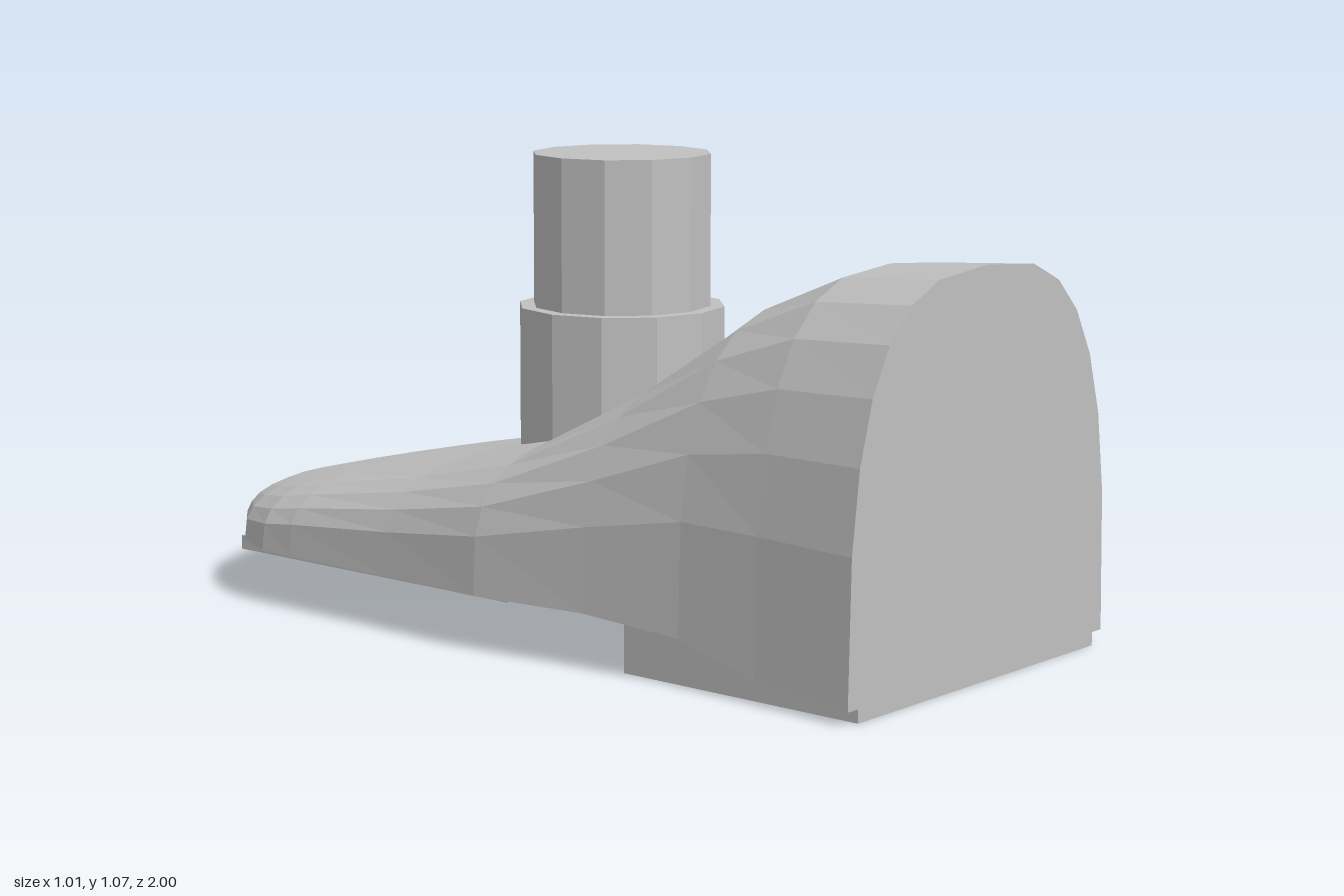
import * as THREE from 'three';

const grey = new THREE.MeshStandardMaterial({ color: 0xc0c0c0 });
grey.name = 'plain grey';

// Cross-sections from heel to toe: z, bottom y, top y, half width, squareness
const SECTIONS = [
  [1, 0.03, 0.893, 0.468, 3],
  [0.75, 0.05, 0.875, 0.455, 3],
  [0.54, 0.105, 0.785, 0.45, 3],
  [0.29, 0.125, 0.605, 0.472, 3.2],
  [0, 0.125, 0.445, 0.505, 3.4],
  [-0.28, 0.125, 0.37, 0.495, 3.4],
  [-0.6, 0.125, 0.305, 0.49, 3.4],
  [-0.7, 0.125, 0.284, 0.483, 3.2],
  [-0.82, 0.125, 0.258, 0.428, 3],
  [-0.925, 0.125, 0.234, 0.328, 3],
  [-1, 0.125, 0.215, 0.165, 3],
];
const SEGMENTS = 14;

// Arched rings joined into a closed, faceted shell
function loftGeometry() {
  const positions = [];
  const index = [];
  const ring = SEGMENTS + 1;
  for (const [z, bottom, top, half, n] of SECTIONS) {
    for (let j = 0; j < ring; j++) {
      const a = (j / SEGMENTS) * Math.PI;
      const c = Math.cos(a);
      const s = Math.max(0, Math.sin(a));
      const x = Math.sign(c) * Math.pow(Math.abs(c), 2 / n) * half;
      positions.push(x, bottom + (top - bottom) * Math.pow(s, 2 / n), z);
    }
  }
  for (let i = 0; i < SECTIONS.length - 1; i++) {
    for (let j = 0; j < ring; j++) {
      const k = (j + 1) % ring;
      const a = i * ring + j, b = i * ring + k;
      const c = a + ring, d = b + ring;
      index.push(a, c, b, b, c, d);
    }
  }
  // End caps
  const last = (SECTIONS.length - 1) * ring;
  for (let j = 1; j < SEGMENTS; j++) {
    index.push(0, j, j + 1);
    index.push(last, last + j + 1, last + j);
  }
  const geometry = new THREE.BufferGeometry();
  geometry.setAttribute('position', new THREE.Float32BufferAttribute(positions, 3));
  geometry.setIndex(index);
  return faceted(geometry);
}

function faceted(geometry) {
  const flat = geometry.toNonIndexed();
  flat.computeVertexNormals();
  return flat;
}

export function createModel() {
  const model = new THREE.Group();
  model.name = 'shoeShapedBody';

  const add = (name, geometry) => {
    const mesh = new THREE.Mesh(geometry, grey);
    mesh.name = name;
    model.add(mesh);
  };
  const block = (name, halfWidth, y0, y1, z0, z1) => {
    const g = new THREE.BoxGeometry(halfWidth * 2, y1 - y0, z1 - z0);
    add(name, g.translate(0, (y0 + y1) / 2, (z0 + z1) / 2));
  };
  const post = (name, radius, y0, y1) => {
    const g = faceted(new THREE.CylinderGeometry(radius, radius, y1 - y0, 12));
    add(name, g.translate(0, (y0 + y1) / 2, -0.005));
  };

  add('shell', loftGeometry());

  // Underside
  block('heelBlock', 0.433, 0, 0.13, 0.375, 1);
  block('solePlate', 0.415, 0.097, 0.13, -0.845, 0.02);
  block('soleBar', 0.15, 0.097, 0.13, 0.13, 0.215);

  // Stepped post on top
  post('postCollar', 0.238, 0.2, 0.72);
  post('postTop', 0.205, 0.7, 1.067);

  return model;
}
